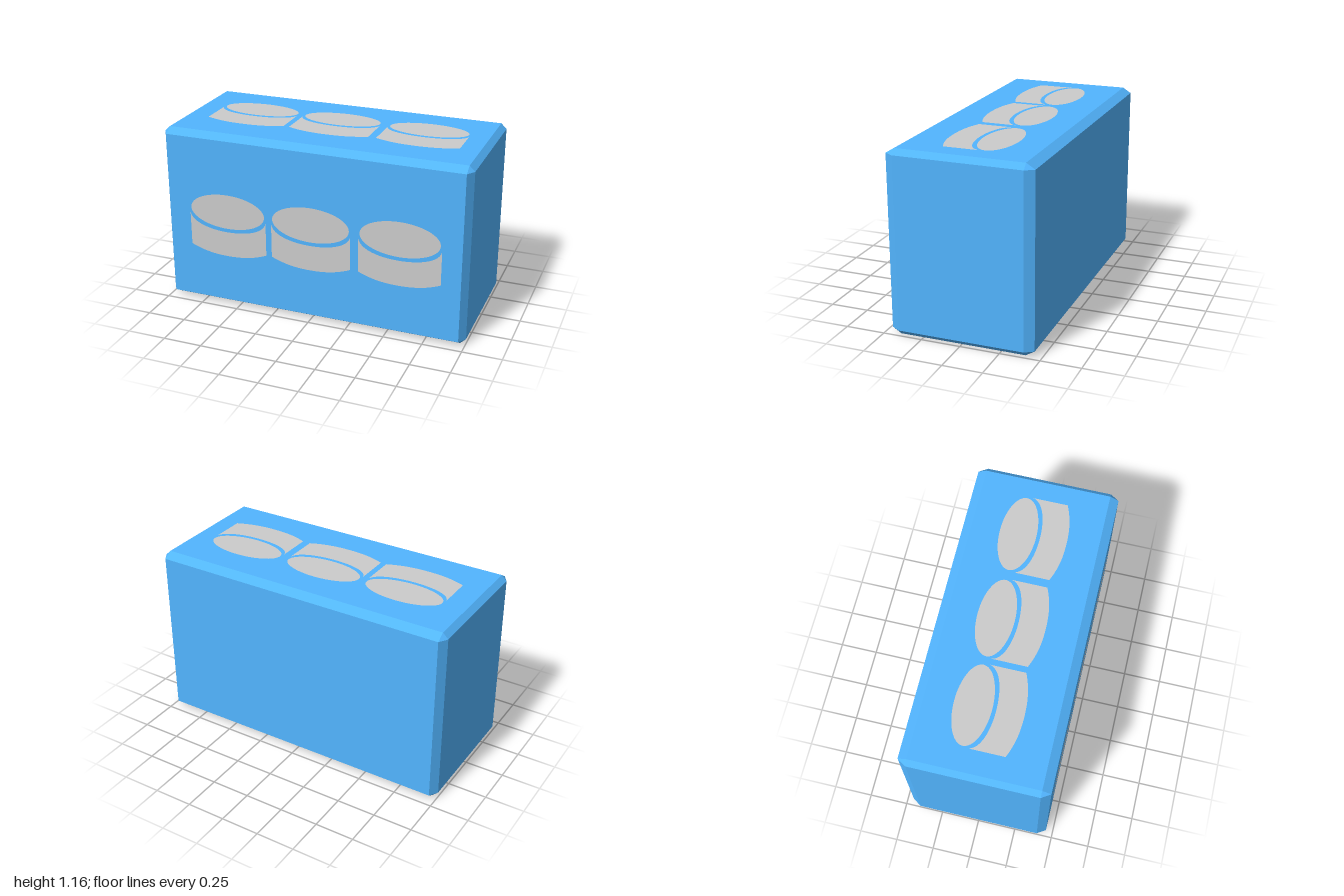
import * as THREE from 'three';
import { ConvexGeometry } from 'three/addons/geometries/ConvexGeometry.js';

const HALF = [1, 0.58, 0.455]; // half sizes of the block
const BEVEL = [0.035, 0.034, 0.055]; // bevel inset along each axis

// Box with every edge bevelled and every corner cut to a triangle
function bevelledBox() {
  const points = [];
  for (const sx of [-1, 1]) for (const sy of [-1, 1]) for (const sz of [-1, 1]) {
    for (let outer = 0; outer < 3; outer++) {
      const [x, y, z] = HALF.map((h, i) => (i === outer ? h : h - BEVEL[i]));
      points.push(new THREE.Vector3(sx * x, sy * y, sz * z));
    }
  }
  return new ConvexGeometry(points);
}

// Flat disc: the upper half of the drum symbol
function discShape() {
  const s = new THREE.Shape();
  s.absellipse(0, 0.105, 0.254, 0.115, 0, Math.PI * 2, false, 0);
  return s;
}

// Curved band below the disc: the drum's side wall
function wallShape() {
  const s = new THREE.Shape();
  s.moveTo(-0.262, 0.07);
  s.lineTo(-0.262, -0.152);
  s.bezierCurveTo(-0.17, -0.192, -0.09, -0.202, 0, -0.202);
  s.bezierCurveTo(0.09, -0.202, 0.17, -0.192, 0.263, -0.152);
  s.lineTo(0.263, 0.07);
  s.bezierCurveTo(0.25, 0.0, 0.13, -0.034, 0, -0.034);
  s.bezierCurveTo(-0.13, -0.034, -0.25, 0.0, -0.262, 0.07);
  return s;
}

export function createModel() {
  const group = new THREE.Group();
  group.name = 'block';
  const blue = new THREE.MeshStandardMaterial({ color: 0x52b5ff, flatShading: true });
  const grey = new THREE.MeshStandardMaterial({ color: 0xcccccc });

  const body = new THREE.Mesh(bevelledBox(), blue);
  body.name = 'body';
  body.position.y = HALF[1];
  group.add(body);

  // A row of three drum symbols laid just above a face
  const disc = new THREE.ShapeGeometry(discShape(), 32);
  const wall = new THREE.ShapeGeometry(wallShape(), 12);
  function symbolRow(name) {
    const row = new THREE.Group();
    row.name = name;
    for (const x of [-0.56, 0.003, 0.579]) {
      const top = new THREE.Mesh(disc, grey);
      top.name = 'symbolDisc';
      const side = new THREE.Mesh(wall, grey);
      side.name = 'symbolWall';
      top.position.x = side.position.x = x;
      row.add(top, side);
    }
    group.add(row);
    return row;
  }

  symbolRow('frontSymbols').position.set(0, 0.55, HALF[2] + 0.002);

  const topRow = symbolRow('topSymbols');
  topRow.rotation.x = -Math.PI / 2;
  topRow.position.y = 2 * HALF[1] + 0.002;

  return group;
}
